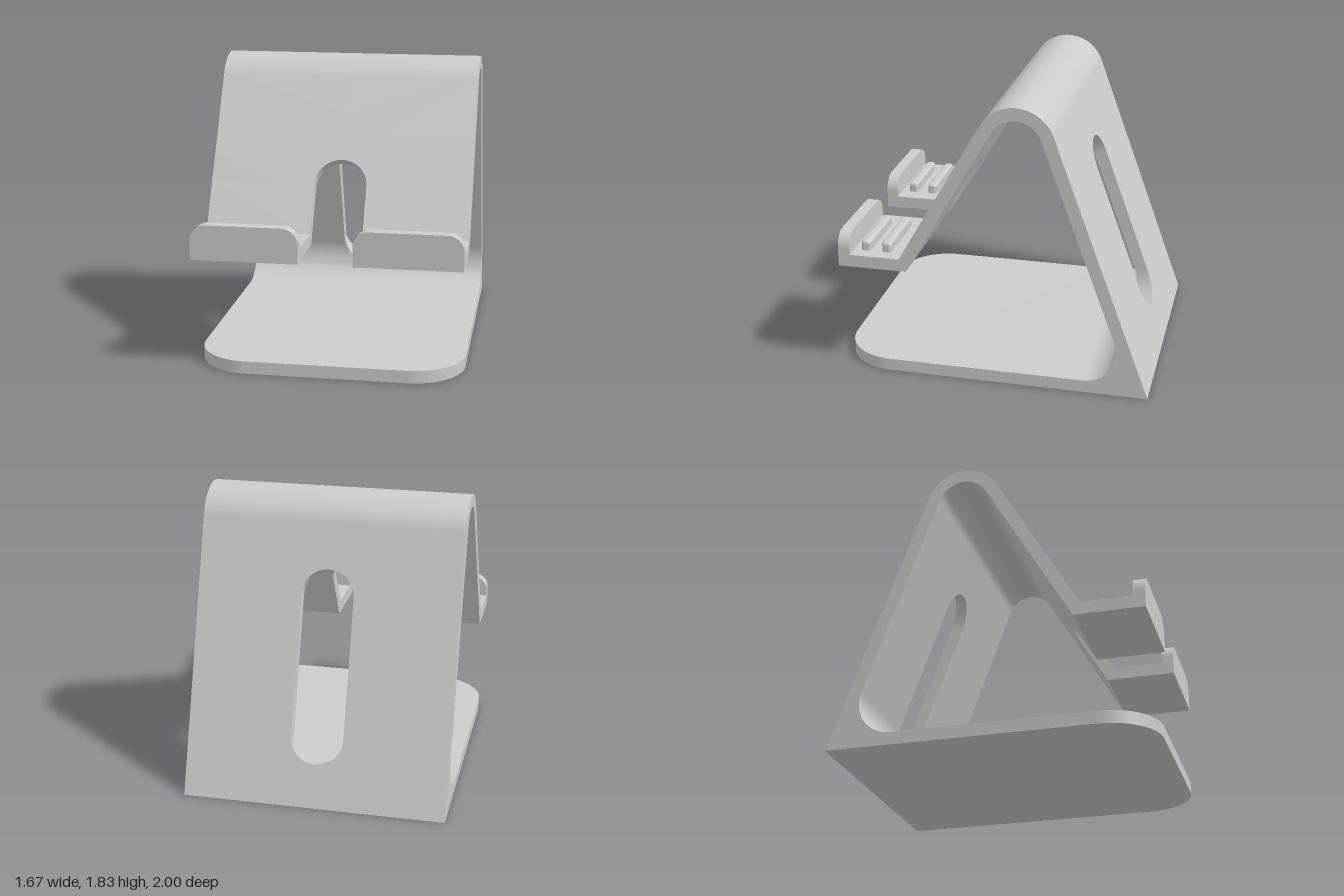
import * as THREE from 'three';
import { toCreasedNormals } from 'three/addons/utils/BufferGeometryUtils.js';
import { RoundedBoxGeometry } from 'three/addons/geometries/RoundedBoxGeometry.js';

const HALF = 0.833;   // half width of the stand
const GAP = 0.167;    // half width (and end radius) of the cable slots
const T = 0.08;       // sheet thickness
const rad = THREE.MathUtils.degToRad;

// Stations along the bent sheet: a = outer point, b = inner point (both [z, y]),
// gap = half width of the slot, half = half width of the sheet
function sheetStations() {
  const list = [];
  const add = (a, b, gap = 0, half = HALF) => list.push({ a, b, gap, half });
  const round = (d) => Math.sqrt(Math.max(0, GAP * GAP - d * d));

  // shelf
  add([0.905, 0.79], [0.905, 0.71], GAP);
  add([0.585, 0.79], [0.54, 0.71], GAP);

  // sloping front panel, with the open slot ending in a half circle
  const cf = Math.cos(rad(30)), sf = Math.sin(rad(30));
  const front = (s, gap) => {
    const z = 0.585 - sf * s, y = 0.79 + cf * s;
    add([z, y], [z - cf * T, y - sf * T], gap);
  };
  front(0, GAP);
  for (let i = 0; i <= 16; i++) {
    const d = GAP * Math.sin((i / 16) * Math.PI / 2);
    front(0.33 + d, i === 16 ? 0 : round(d));
  }

  // rounded top bend
  const R = 0.247;
  for (let i = 0; i <= 32; i++) {
    const t = rad(30 + (130 * i) / 32), c = Math.cos(t), s = Math.sin(t);
    add([-0.16 + R * c, 1.586 + R * s], [-0.16 + (R - T) * c, 1.586 + (R - T) * s]);
  }

  // back panel, thickening into the fillet, with a closed slot
  const cb = Math.cos(rad(20)), sb = Math.sin(rad(20));
  const F = 0.21, fz = -0.59, fy = T + F, fs = 0.413;
  const back = (s, gap) => {
    const e = Math.max(0, fs - s);
    const depth = T + F - Math.sqrt(F * F - e * e);
    const z = -1 + sb * s, y = cb * s;
    const b = [z + cb * depth, y - sb * depth];
    add([z, y], b, gap);
    return b;
  };
  const top = 1.323, bottom = 0.442;
  for (let i = 0; i <= 16; i++) {
    const d = GAP * Math.cos((i / 16) * Math.PI / 2);
    back(top + d, i === 0 ? 0 : round(d));
  }
  let last;
  for (let i = 0; i <= 20; i++) {
    const d = GAP * Math.sin((i / 20) * Math.PI / 2);
    last = back(bottom - d, i === 20 ? 0 : round(d));
  }

  // rest of the fillet, down to the sharp rear edge
  const from = Math.atan2(last[1] - fy, last[0] - fz) + (last[1] > fy ? -2 * Math.PI : 0);
  for (let i = 1; i <= 12; i++) {
    const t = THREE.MathUtils.lerp(from, -Math.PI / 2, i / 12);
    const s = (bottom - GAP) * (1 - i / 12);
    add([-1 + sb * s, cb * s], [fz + F * Math.cos(t), fy + F * Math.sin(t)]);
  }

  // base plate with rounded front corners
  add([fz, 0], [fz, T]);
  const C = 0.333;
  for (let i = 0; i <= 20; i++) {
    const t = (i / 20) * Math.PI / 2;
    const z = 1 - C + C * Math.sin(t);
    add([z, 0], [z, T], 0, HALF - C + C * Math.cos(t));
  }
  return list;
}

// Skin the stations, one half at a time, mirrored across x = 0
function sheetGeometry() {
  const pos = [];
  const stations = sheetStations();
  const tri = (p, q, r) => {
    const [u, v, w] = [p, q, r].map((k) => new THREE.Vector3(...k));
    if (v.sub(u).cross(w.sub(u)).length() > 1e-9) pos.push(...p, ...q, ...r);
  };
  for (const side of [1, -1]) {
    const quad = (p, q, r, s) => {
      if (side < 0) [q, s] = [s, q];
      tri(p, q, r);
      tri(p, r, s);
    };
    const rings = stations.map(({ a, b, gap, half }) => [
      [side * gap, a[1], a[0]], [side * half, a[1], a[0]],
      [side * half, b[1], b[0]], [side * gap, b[1], b[0]],
    ]);
    for (let i = 0; i < rings.length - 1; i++) {
      const p = rings[i], q = rings[i + 1];
      const hasGap = stations[i].gap > 0 || stations[i + 1].gap > 0;
      for (let k = 0; k < (hasGap ? 4 : 3); k++) {
        const n = (k + 1) % 4;
        quad(p[k], p[n], q[n], q[k]);
      }
    }
    const [s0, s1, s2, s3] = rings[0];
    quad(s3, s2, s1, s0);
    quad(...rings[rings.length - 1]);
  }
  const g = new THREE.BufferGeometry();
  g.setAttribute('position', new THREE.Float32BufferAttribute(pos, 3));
  return toCreasedNormals(g, 0.5);
}

// Upright lip with rounded upper corners
function lipGeometry() {
  const w = (HALF - GAP) / 2, r = 0.1, y0 = 0.71, y1 = 0.93;
  const s = new THREE.Shape();
  s.moveTo(-w, y0);
  s.lineTo(w, y0);
  s.lineTo(w, y1 - r);
  s.absarc(w - r, y1 - r, r, 0, Math.PI / 2);
  s.lineTo(-w + r, y1);
  s.absarc(-w + r, y1 - r, r, Math.PI / 2, Math.PI);
  s.closePath();
  const g = new THREE.ExtrudeGeometry(s, { depth: 0.075, bevelEnabled: false, curveSegments: 16 });
  return toCreasedNormals(g, 0.5);
}

export function createModel() {
  const group = new THREE.Group();
  const mat = new THREE.MeshStandardMaterial({ color: 0xcccccc });
  const add = (name, geo, x = 0, y = 0, z = 0) => {
    const m = new THREE.Mesh(geo, mat);
    m.name = name;
    m.position.set(x, y, z);
    group.add(m);
  };

  add('bentSheetBody', sheetGeometry());

  const lip = lipGeometry();
  const rib = new RoundedBoxGeometry(0.45, 0.105, 0.062, 4, 0.02);
  for (const [side, x, ribX] of [['left', 0.5, 0.521], ['right', -0.5, -0.5]]) {
    add(side + 'Lip', lip, x, 0, 0.905);
    add(side + 'RearRib', rib, ribX, 0.8025, 0.692);
    add(side + 'FrontRib', rib, ribX, 0.8025, 0.826);
  }
  return group;
}
